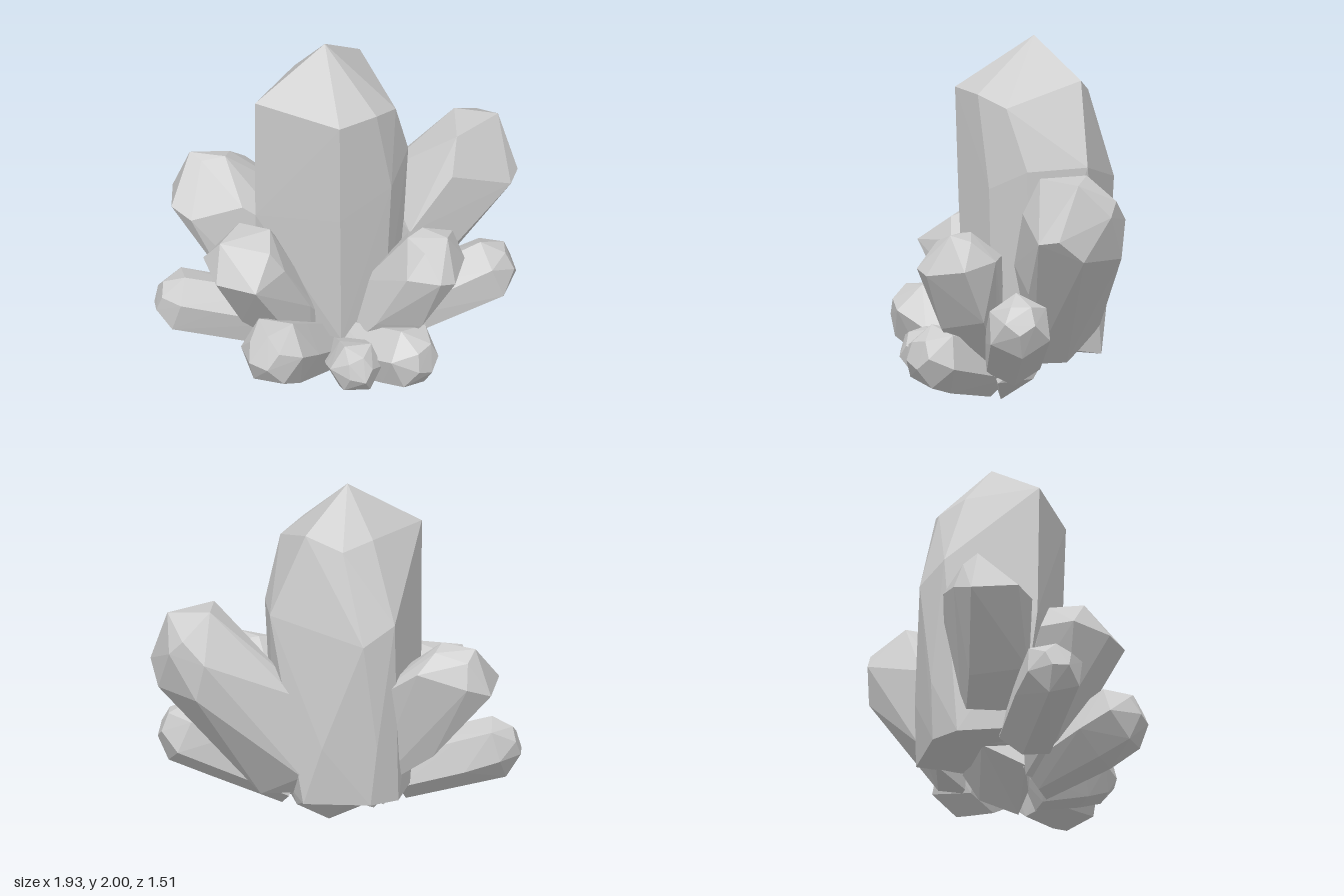
import * as THREE from 'three';
import { ConvexGeometry } from 'three/addons/geometries/ConvexGeometry.js';

const V = (p) => new THREE.Vector3(...p);

// Small seeded generator for facet irregularity
function seeded(seed) {
  let s = seed * 7919 + 17;
  return () => (s = (s * 16807) % 2147483647) / 2147483647;
}

// Points of a tapered prism with a blunt, chamfered cap
function crystalPoints(base, tip, r0, r1, seed) {
  const rand = seeded(seed);
  const a = V(base), axis = V(tip).sub(a);
  const length = axis.length();
  axis.normalize();
  const u = new THREE.Vector3(0, 1, 0).cross(axis).normalize();
  const v = axis.clone().cross(u);
  const points = [];
  const ring = (d, r, sides, twist, wobble) => {
    for (let i = 0; i < sides; i++) {
      const t = twist + (i / sides) * Math.PI * 2;
      const rr = r * (1 + (rand() - 0.5) * wobble);
      points.push(a.clone()
        .addScaledVector(axis, d + (rand() - 0.5) * wobble * r)
        .addScaledVector(u, Math.cos(t) * rr)
        .addScaledVector(v, Math.sin(t) * rr));
    }
  };
  const twist = rand() * Math.PI;
  ring(0, r0, 6, twist, 0.1);
  ring(length * 0.55, r0 + (r1 - r0) * 0.75, 6, twist, 0.1);
  ring(length - r1 * 0.6, r1, 6, twist, 0.14);
  ring(length, r1 * 0.48, 5, twist + 0.3, 0.12);
  return points;
}

export function createModel() {
  const group = new THREE.Group();
  const material = new THREE.MeshStandardMaterial({ color: 0xcccccc, flatShading: true });
  const add = (name, points) => {
    const mesh = new THREE.Mesh(new ConvexGeometry(points), material);
    mesh.name = name;
    group.add(mesh);
  };

  // Tall central crystal: apex, shoulder, belly and foot
  add('mainCrystal', [
    [-0.07, 2.0, -0.1],
    [0.07, 1.72, 0.31], [0.25, 1.71, 0.14], [0.33, 1.65, -0.04], [0.08, 1.78, -0.4],
    [-0.13, 1.7, -0.39], [-0.26, 1.74, -0.25], [-0.42, 1.74, 0.15],
    [0.38, 1.31, -0.17], [0.26, 1.33, -0.48], [-0.28, 1.2, -0.5], [-0.42, 1.3, -0.37],
    [0.32, 1.2, 0.06], [0.07, 1.1, 0.29], [-0.42, 1.0, 0.14],
    [-0.34, 0.6, -0.44], [-0.05, 0.6, -0.52],
    [0.07, 0.3, 0.25], [0.28, 0.33, 0.05], [0.33, 0.35, -0.17], [0.06, 0.27, -0.51],
    [-0.3, 0.27, -0.43], [-0.42, 0.27, -0.3], [-0.41, 0.3, 0.05],
  ].map(V));

  // Large leaning crystal at the back
  add('backCrystal', [
    [0.58, 1.34, -0.55], [0.63, 1.32, -0.3], [0.82, 1.32, -0.56], [0.68, 1.22, -0.74],
    [0.55, 1.1, -0.76], [0.76, 1.14, -0.73], [0.94, 1.02, -0.48], [0.92, 1.0, -0.36],
    [0.62, 1.12, -0.2], [0.6, 0.89, -0.75], [0.86, 0.9, -0.6],
    [0.2, 0.98, -0.42], [0.4, 0.8, -0.1], [0.65, 0.68, -0.24], [0.62, 0.67, -0.48],
    [0.38, 0.55, -0.54], [0.22, 0.65, -0.55], [0.12, 0.88, -0.48], [0.07, 0.42, -0.5],
    [0.36, 0.25, -0.2], [0.34, 0.26, -0.38], [0.1, 0.3, -0.4],
  ].map(V));

  // Broad crystal leaning left behind
  add('leftBackCrystal', [
    [-0.83, 1.15, -0.2], [-0.63, 1.16, -0.17], [-0.76, 1.13, -0.15], [-0.62, 1.13, -0.27],
    [-0.81, 1.09, -0.28],
    [-0.93, 0.9, -0.24], [-0.82, 0.95, -0.33], [-0.55, 1.03, -0.38], [-0.9, 0.93, 0.02],
    [-0.78, 0.9, 0.1], [-0.5, 1.0, 0.08],
    [-0.6, 0.52, -0.24], [-0.62, 0.56, 0.08], [-0.2, 0.8, -0.36], [-0.22, 0.82, 0.06],
    [-0.24, 0.28, -0.26], [-0.24, 0.28, 0.08],
  ].map(V));

  // Broad crystal leaning left in front
  add('leftMiddleCrystal', [
    [-0.58, 0.96, 0.39], [-0.32, 1.0, 0.27], [-0.5, 0.98, 0.2], [-0.3, 0.94, 0.42],
    [-0.68, 0.82, 0.33], [-0.58, 0.78, 0.53], [-0.35, 0.8, 0.62], [-0.22, 0.82, 0.4],
    [-0.6, 0.82, 0.15], [-0.3, 0.85, 0.13],
    [-0.47, 0.4, 0.3], [-0.25, 0.42, 0.37], [-0.1, 0.5, 0.25], [-0.4, 0.45, 0.05],
    [-0.22, 0.1, 0.08], [-0.1, 0.12, 0.2], [-0.02, 0.3, 0.08],
  ].map(V));

  // Broad crystal leaning right in front
  add('rightMiddleCrystal', [
    [0.43, 0.97, 0.2], [0.5, 0.99, 0.12], [0.65, 0.99, 0.2], [0.66, 0.96, 0.08], [0.54, 0.94, 0.3],
    [0.73, 0.8, 0.1], [0.71, 0.77, 0.32], [0.64, 0.8, 0.39], [0.45, 0.8, 0.37],
    [0.62, 0.85, -0.05], [0.4, 0.85, -0.03],
    [0.17, 0.6, 0.1], [0.52, 0.45, 0.28], [0.57, 0.5, 0.03], [0.27, 0.45, 0.3],
    [0.1, 0.22, 0.02], [0.1, 0.22, 0.2], [0.3, 0.2, 0.2], [0.3, 0.22, 0.02],
  ].map(V));

  // Smaller crystals around the foot: name, base, tip, base radius, shoulder radius
  [
    ['rightLowerCrystal', [0.25, 0.27, -0.05], [0.93, 0.58, -0.26], 0.17, 0.19],
    ['frontRightCrystal', [0.1, 0.18, 0.11], [0.57, 0.31, 0.4], 0.17, 0.18],
    ['frontSmallCrystal', [0.06, 0.14, 0.13], [0.22, 0.31, 0.56], 0.12, 0.15],
    ['frontLeftCrystal', [-0.07, 0.17, 0.12], [-0.3, 0.47, 0.7], 0.15, 0.2],
    ['leftLowerCrystal', [-0.3, 0.31, 0.08], [-0.94, 0.49, 0.24], 0.17, 0.17],
  ].forEach(([name, base, tip, r0, r1], i) => add(name, crystalPoints(base, tip, r0, r1, i + 3)));

  // Pointed root where the crystals meet
  add('root', [
    [0.08, 0.0, 0.05], [-0.08, 0.07, 0.1], [0.28, 0.12, 0.02], [0.2, 0.14, -0.16],
    [-0.22, 0.16, 0.08], [-0.2, 0.29, -0.16], [0.22, 0.3, -0.25], [0.25, 0.35, 0.12],
    [-0.2, 0.36, 0.12],
  ].map(V));

  return group;
}
